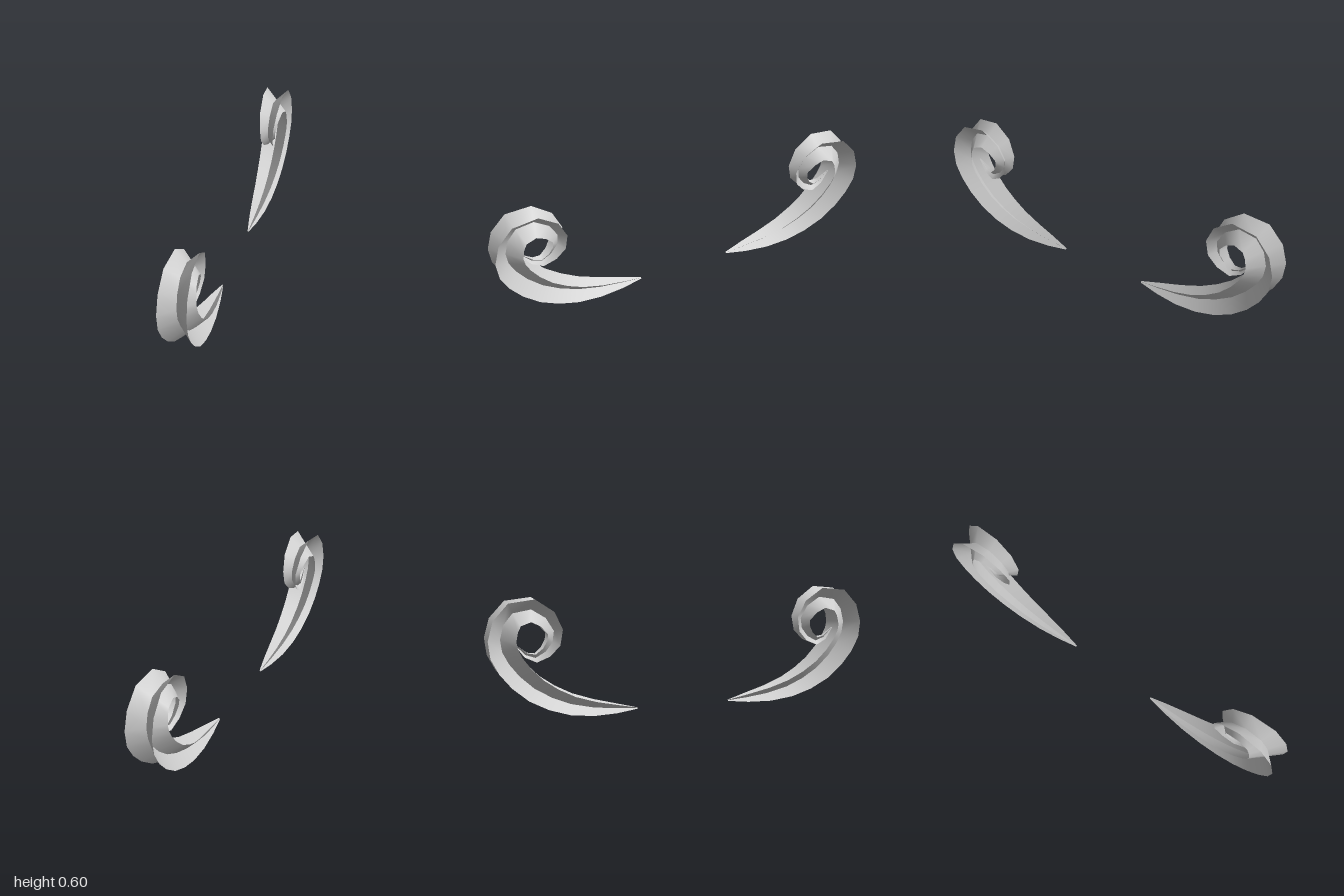
import * as THREE from 'three';

// Stations along the curl: [z, y of the spine, half-width of the blades]
const STATIONS = [
  [0.25, 0.014, 0.003], [0.36, 0.022, 0.021], [0.48, 0.036, 0.036], [0.595, 0.063, 0.047],
  [0.69, 0.103, 0.055], [0.775, 0.155, 0.061], [0.845, 0.22, 0.065], [0.895, 0.285, 0.067],
  [0.925, 0.345, 0.068], [0.933, 0.405, 0.067], [0.915, 0.475, 0.065], [0.87, 0.53, 0.062],
  [0.78, 0.545, 0.055], [0.71, 0.5, 0.048], [0.672, 0.435, 0.038], [0.68, 0.38, 0.034],
  [0.715, 0.335, 0.027], [0.765, 0.307, 0.02], [0.813, 0.324, 0.012], [0.863, 0.375, 0.002],
];

// One ribbon leaning 45 degrees across the spine; lean is +1 or -1
function bladeGeometry(lean) {
  const positions = [], index = [];
  const last = STATIONS.length - 1;
  STATIONS.forEach(([z, y, h], i) => {
    // outward normal of the curl from the neighbouring stations
    const a = STATIONS[Math.max(i - 1, 0)], b = STATIONS[Math.min(i + 1, last)];
    const t = new THREE.Vector2(b[0] - a[0], b[1] - a[1]).normalize();
    const nz = t.y * h, ny = -t.x * h;
    for (const s of [1, 0, -1]) positions.push(s * lean * h, y + s * ny, z + s * nz);
    if (i < last) {
      for (const k of [0, 1]) {
        const p = i * 3 + k;
        index.push(p, p + 1, p + 3, p + 1, p + 4, p + 3);
      }
    }
  });
  const geometry = new THREE.BufferGeometry();
  geometry.setAttribute('position', new THREE.Float32BufferAttribute(positions, 3));
  geometry.setIndex(index);
  geometry.computeVertexNormals();
  return geometry;
}

export function createModel() {
  const model = new THREE.Group();
  model.name = 'curledTendrils';
  const material = new THREE.MeshStandardMaterial({ color: 0xcccccc, side: THREE.DoubleSide });
  const leftLean = bladeGeometry(1), rightLean = bladeGeometry(-1);

  // Two crossed ribbons make each tendril; the back one is the front one turned round
  ['frontTendril', 'backTendril'].forEach((name, i) => {
    const tendril = new THREE.Group();
    tendril.name = name;
    [['leftLeaningBlade', leftLean], ['rightLeaningBlade', rightLean]].forEach(([part, geometry]) => {
      const blade = new THREE.Mesh(geometry, material);
      blade.name = part;
      tendril.add(blade);
    });
    tendril.rotation.y = i * Math.PI;
    model.add(tendril);
  });
  return model;
}
